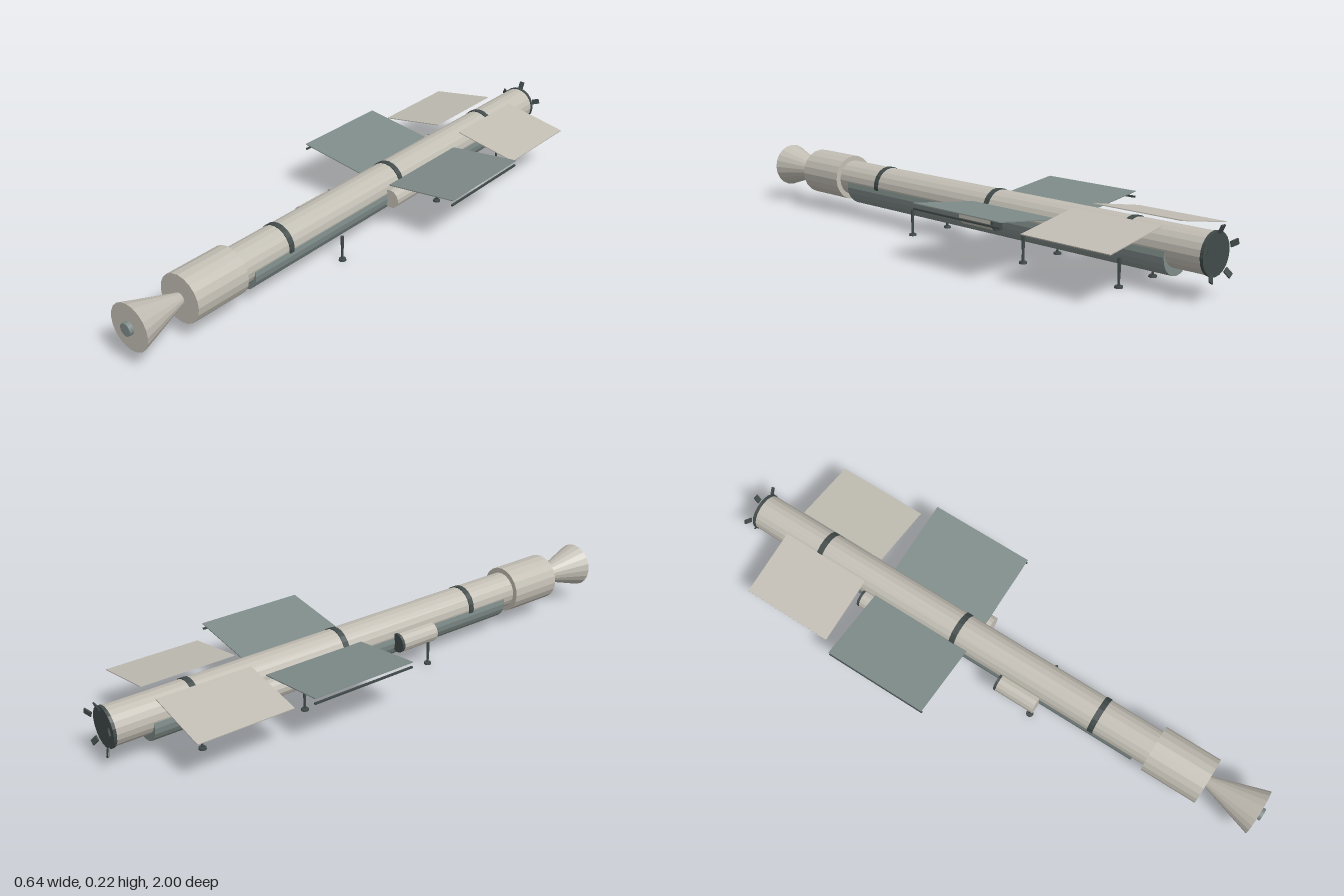
import * as THREE from 'three';

export function createModel() {
  const model = new THREE.Group();
  const mat = (name, color) => {
    const m = new THREE.MeshStandardMaterial({ color, flatShading: true });
    m.name = name;
    return m;
  };
  const bone = mat('bone', 0xc2beb4);
  const slate = mat('slate', 0x7f8c89);
  const charcoal = mat('charcoal', 0x414b4a);
  const AXIS = 0.136; // height of the main tube's axis

  const add = (name, geometry, material, x, y, z, parent = model) => {
    const mesh = new THREE.Mesh(geometry, material);
    mesh.name = name;
    mesh.position.set(x, y, z);
    parent.add(mesh);
    return mesh;
  };
  // Cylinder or cone lying along z, from z0 (back) to z1 (front)
  const rod = (name, material, x, y, z0, z1, rBack, rFront = rBack, sides = 20) =>
    add(name, new THREE.CylinderGeometry(rFront, rBack, z1 - z0, sides).rotateX(Math.PI / 2),
      material, x, y, (z0 + z1) / 2);

  // Hull, nose collar and flared horn
  rod('mainTube', bone, 0, AXIS, -0.97, 0.6, 0.063);
  rod('lowerTube', slate, 0, 0.113, -0.85, 0.555, 0.065);
  rod('noseCollar', bone, 0, AXIS, 0.6, 0.8, 0.081);
  rod('noseHorn', bone, 0, AXIS, 0.8, 0.985, 0.02, 0.078);
  rod('noseCap', slate, 0, AXIS, 0.98, 1.0, 0.021);
  rod('tailPlate', charcoal, 0, AXIS, -0.978, -0.968, 0.066);

  // Dark bands around the hull
  for (const z of [0.395, -0.15, -0.7]) rod('band', charcoal, 0, AXIS, z - 0.01, z + 0.01, 0.0655);

  // Tilted tabs around the tail
  for (let i = 0; i < 5; i++) {
    const spoke = new THREE.Group();
    spoke.name = 'tailTabMount';
    spoke.position.set(0, AXIS, -0.991);
    spoke.rotation.z = Math.PI * (0.1 + 0.4 * i);
    model.add(spoke);
    const tab = add('tailTab', new THREE.BoxGeometry(0.026, 0.018, 0.005), charcoal, 0.073, 0, 0, spoke);
    tab.rotation.y = 0.4;
  }

  // Side pods, alternating sides, each with a dark rear cap
  for (const [side, z] of [[-1, 0.125], [1, -0.15], [-1, -0.43]]) {
    rod('pod', bone, side * 0.076, 0.117, z - 0.068, z + 0.075, 0.033, 0.033, 14);
    rod('podCap', charcoal, side * 0.076, 0.117, z - 0.077, z - 0.068, 0.033, 0.033, 14);
  }

  // Flat panel running from an inner (x, y) to an outer (x, y) point
  const panel = (name, material, side, [xi, yi], [xo, yo], z0, z1) => {
    const length = Math.hypot(xo - xi, yo - yi);
    const p = add(name, new THREE.BoxGeometry(length, 0.003, z1 - z0), material,
      side * (xi + xo) / 2, (yi + yo) / 2, (z0 + z1) / 2);
    p.rotation.z = side * Math.atan2(yo - yi, xo - xi);
  };

  for (const side of [-1, 1]) {
    panel('darkPanel', slate, side, [0.055, 0.157], [0.32, 0.191], -0.46, -0.09);
    panel('lightPanel', bone, side, [0.048, 0.198], [0.28, 0.157], -0.83, -0.505);
    add('panelRail', new THREE.BoxGeometry(0.006, 0.006, 0.37), charcoal, side * 0.317, 0.173, -0.275);

    // Landing legs with round feet
    for (const z of [0.18, -0.335, -0.71]) {
      const x = side * 0.082;
      add('legSleeve', new THREE.CylinderGeometry(0.006, 0.005, 0.045, 8), charcoal, x, 0.068, z);
      add('legStrut', new THREE.CylinderGeometry(0.004, 0.004, 0.08, 8), charcoal, x, 0.045, z);
      add('foot', new THREE.CylinderGeometry(0.012, 0.013, 0.007, 10), charcoal, x, 0.0035, z);
    }
  }
  return model;
}
